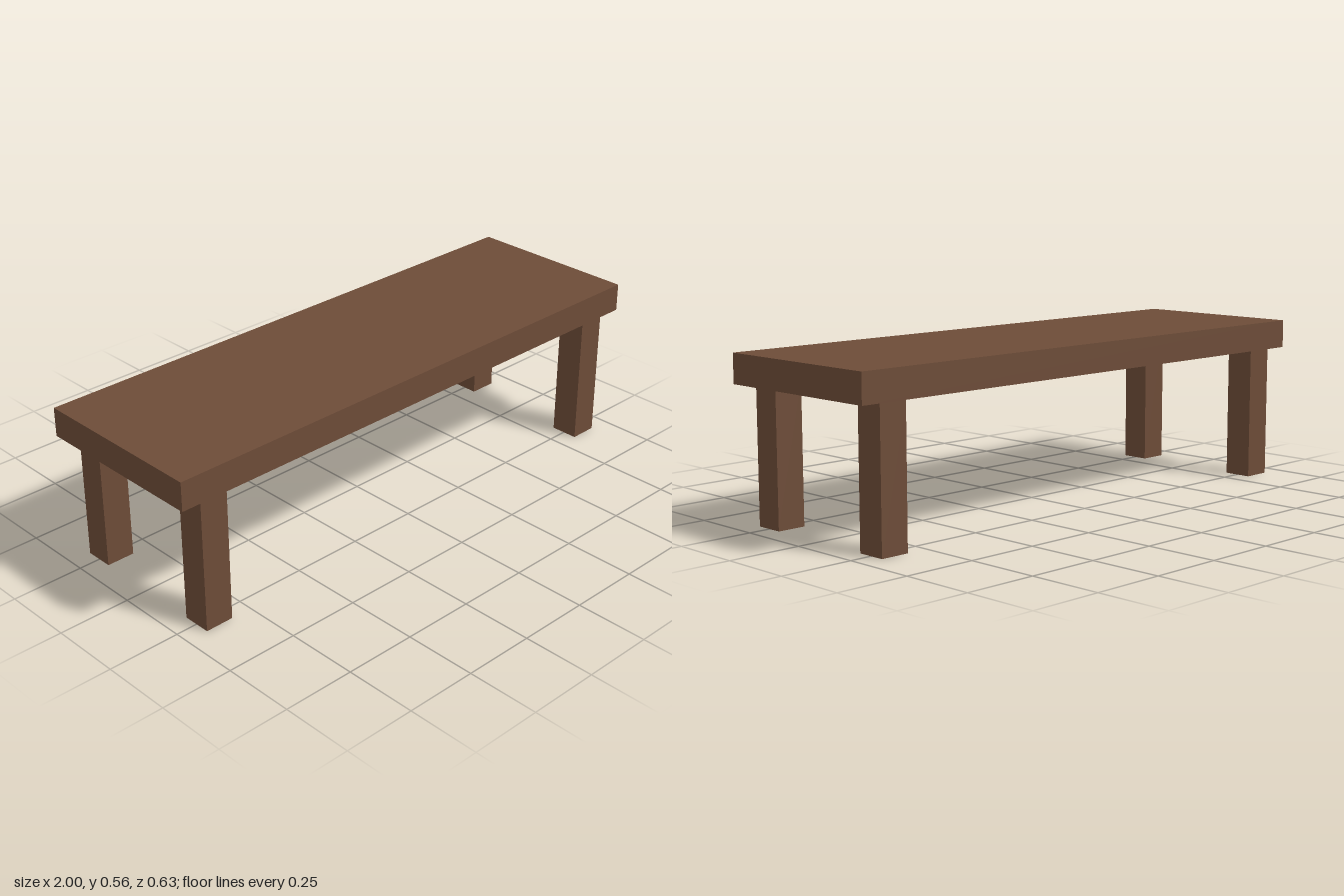
import * as THREE from 'three';

const wood = new THREE.MeshStandardMaterial({ color: 0x6d4c38 });

const LEG_HEIGHT = 0.464;
const LEG_WIDTH = 0.1;
const TOP_THICKNESS = 0.099;

function addBox(parent, name, size, position) {
  const mesh = new THREE.Mesh(new THREE.BoxGeometry(...size), wood);
  mesh.name = name;
  mesh.position.set(...position);
  parent.add(mesh);
}

export function createModel() {
  const bench = new THREE.Group();
  bench.name = 'bench';

  // Flat slab resting on the legs
  addBox(bench, 'benchTop', [2, TOP_THICKNESS, 0.626], [0, LEG_HEIGHT + TOP_THICKNESS / 2, 0]);

  // Four square legs, set in from the corners
  for (const [side, x] of [['Left', 0.874], ['Right', -0.874]]) {
    for (const [end, z] of [['front', 0.251], ['back', -0.251]]) {
      addBox(bench, `${end}${side}Leg`, [LEG_WIDTH, LEG_HEIGHT, LEG_WIDTH], [x, LEG_HEIGHT / 2, z]);
    }
  }

  return bench;
}
